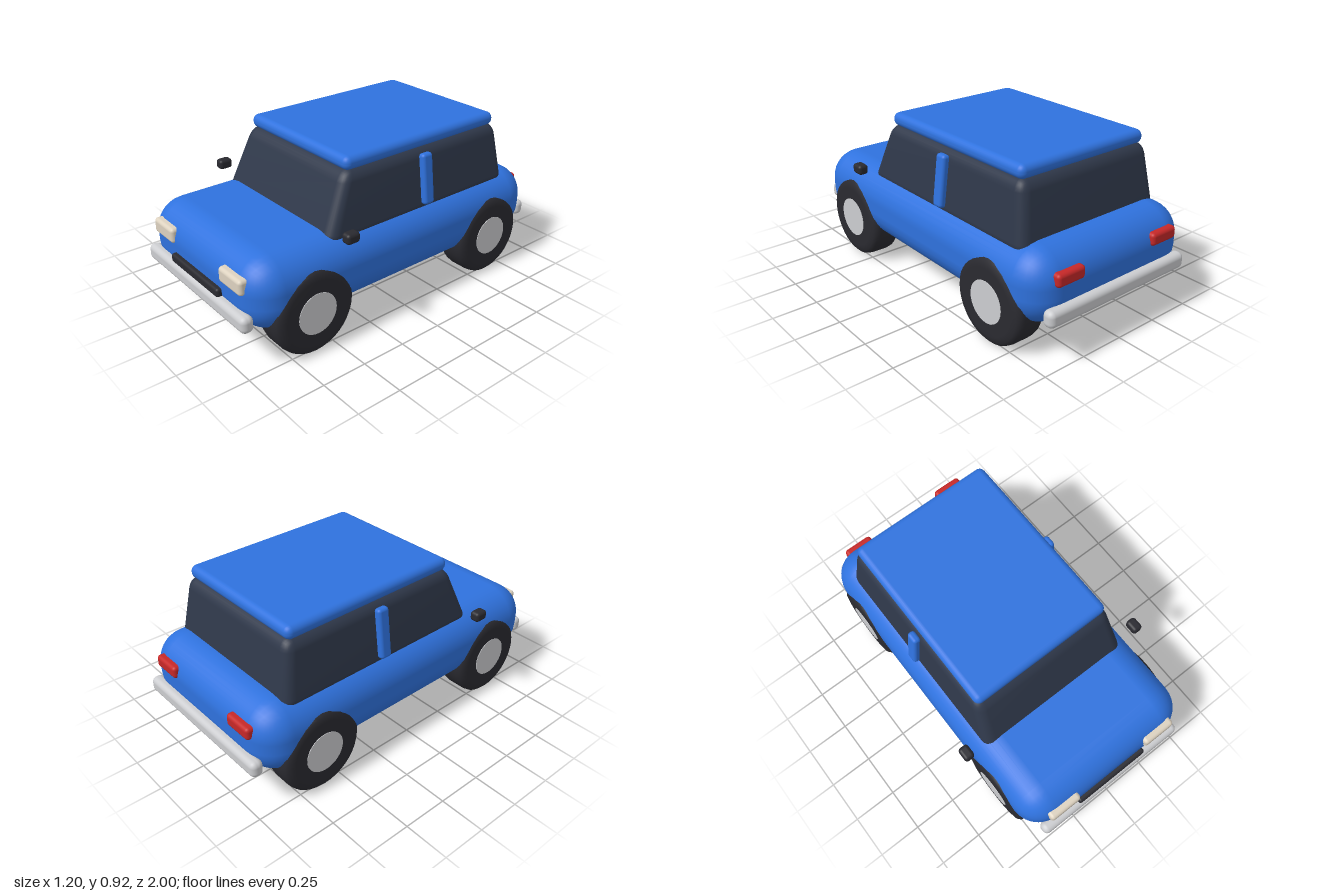
import * as THREE from 'three';
import { RoundedBoxGeometry } from 'three/addons/geometries/RoundedBoxGeometry.js';
import { mergeVertices } from 'three/addons/utils/BufferGeometryUtils.js';

const material = (name, color) => {
  const m = new THREE.MeshStandardMaterial({ color });
  m.name = name;
  return m;
};

export function createModel() {
  const paint = material('bluePaint', 0x2f72de);
  const glass = material('darkGlass', 0x2f384a);
  const rubber = material('blackRubber', 0x2a2a30);
  const metal = material('silverMetal', 0xcccdd0);
  const lamp = material('creamLamp', 0xddd2c0);
  const red = material('redLamp', 0xc62828);

  const car = new THREE.Group();
  car.name = 'car';

  const add = (name, geometry, mat, x = 0, y = 0, z = 0) => {
    const mesh = new THREE.Mesh(geometry, mat);
    mesh.name = name;
    mesh.position.set(x, y, z);
    car.add(mesh);
    return mesh;
  };
  const box = (w, h, d, r, segments = 3) => new RoundedBoxGeometry(w, h, d, segments, r);

  // Lower body and roof
  add('body', box(1.07, 0.4, 1.92, 0.17, 4), paint, 0, 0.37, 0);
  add('roof', box(0.83, 0.075, 1.06, 0.035), paint, 0, 0.887, -0.19);

  // Glasshouse: rounded box tapered upward, with a raked windscreen
  let cabin = box(0.93, 0.36, 1.26, 0.06);
  cabin.deleteAttribute('uv');
  cabin.deleteAttribute('normal');
  cabin = mergeVertices(cabin);
  const p = cabin.attributes.position;
  for (let i = 0; i < p.count; i++) {
    const y = p.getY(i) + 0.68;
    const t = (y - 0.55) / 0.3;
    const front = 0.48 - 0.13 * t;
    const back = -0.785 + 0.05 * t;
    const u = p.getZ(i) / 0.63;
    p.setXYZ(i, p.getX(i) * (1 - 0.085 * t), y, (front + back) / 2 + u * (front - back) / 2);
  }
  cabin.computeVertexNormals();
  add('glasshouse', cabin, glass);

  // Bumpers and grille
  for (const [name, s] of [['frontBumper', 1], ['rearBumper', -1]]) {
    add(name, box(0.945, 0.09, 0.07, 0.03), metal, 0, 0.273, s * 0.965);
  }
  add('grille', box(0.46, 0.05, 0.06, 0.015), rubber, 0, 0.335, 0.957);

  // Tyre profile (radius, width) turned around the axle
  const tyreProfile = [
    [0, -0.09], [0.18, -0.09], [0.212, -0.084], [0.23, -0.068], [0.235, -0.045],
    [0.235, 0.045], [0.23, 0.068], [0.212, 0.084], [0.18, 0.09], [0, 0.09],
  ].map(([r, w]) => new THREE.Vector2(r, w));
  const tyre = new THREE.LatheGeometry(tyreProfile, 36).rotateZ(-Math.PI / 2);
  const hub = new THREE.CylinderGeometry(0.113, 0.113, 0.02, 32).rotateZ(Math.PI / 2);

  // Paired parts on the left (+x) and right (-x)
  for (const [side, s] of [['left', 1], ['right', -1]]) {
    for (const [end, z] of [['Front', 0.62], ['Rear', -0.62]]) {
      add(`${side}${end}Tyre`, tyre, rubber, s * 0.452, 0.235, z);
      add(`${side}${end}Hub`, hub, metal, s * 0.535, 0.235, z);
    }
    add(`${side}Headlight`, box(0.195, 0.085, 0.06, 0.02), lamp, s * 0.323, 0.446, 0.943);
    add(`${side}TailLight`, box(0.175, 0.07, 0.06, 0.02), red, s * 0.323, 0.446, -0.946);
    add(`${side}Mirror`, box(0.058, 0.056, 0.078, 0.018), rubber, s * 0.572, 0.604, 0.44);
    const pillar = add(`${side}DoorPillar`, box(0.045, 0.28, 0.07, 0.018), paint, s * 0.458, 0.695, -0.165);
    pillar.rotation.z = s * 0.12;
  }
  return car;
}
